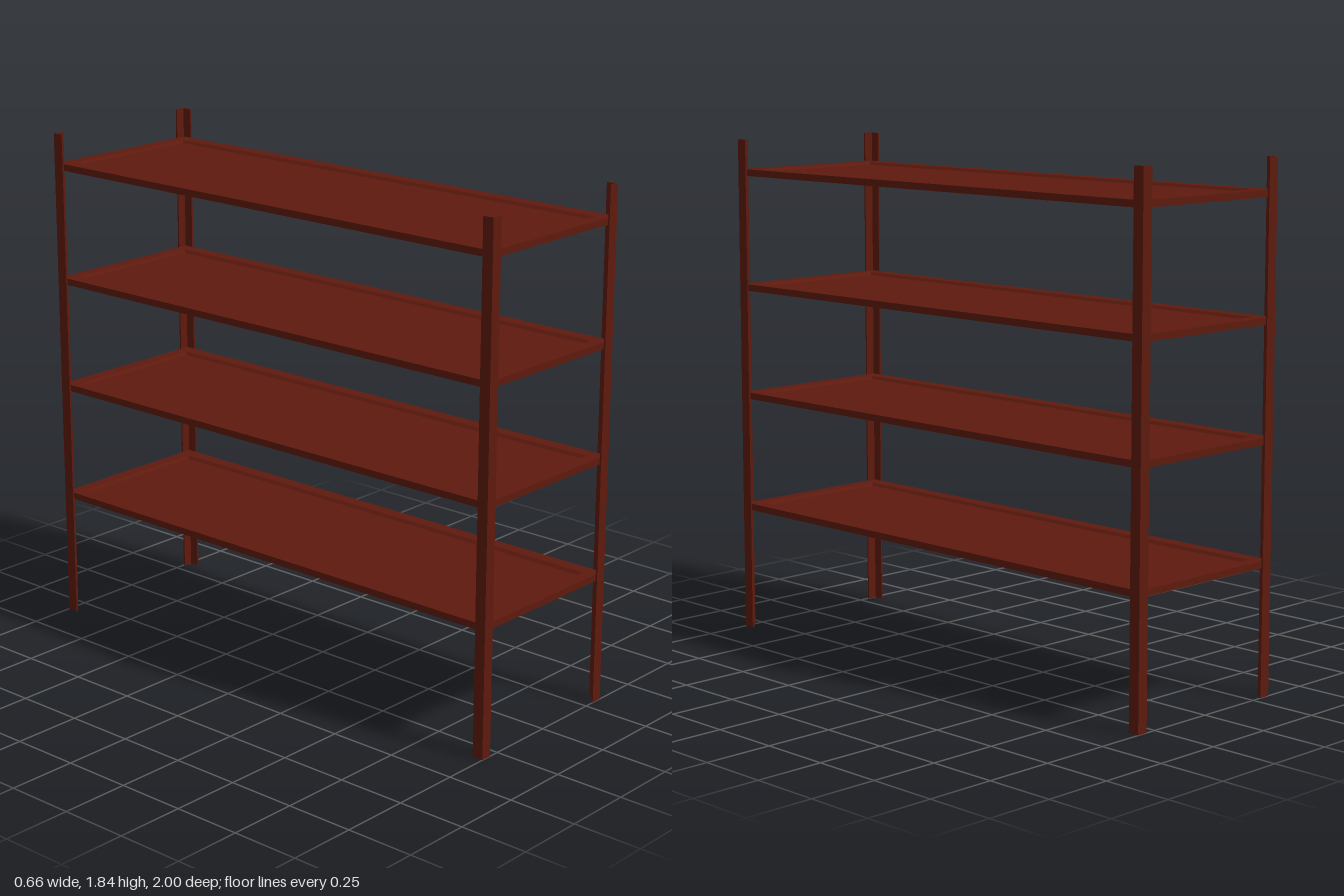
import * as THREE from 'three';

const HX = 0.33, HZ = 1.0, HEIGHT = 1.835;   // overall half width, half depth, height
const FLANGE = 0.041, GAUGE = 0.006;         // angle-iron leg size
const SHELF_TOPS = [0.476, 0.898, 1.303, 1.727];

// Closed rectangular solid lofted through rings of [halfX, halfZ, y], bottom first
function loftRect(rings) {
  const pos = [];
  const corner = ([hx, hz, y], i) => [[hx, y, hz], [hx, y, -hz], [-hx, y, -hz], [-hx, y, hz]][i % 4];
  const quad = (a, b, c, d) => pos.push(...a, ...b, ...c, ...a, ...c, ...d);
  for (let r = 0; r < rings.length - 1; r++) {
    for (let i = 0; i < 4; i++) {
      quad(corner(rings[r], i), corner(rings[r], i + 1), corner(rings[r + 1], i + 1), corner(rings[r + 1], i));
    }
  }
  const first = rings[0], last = rings[rings.length - 1];
  quad(corner(first, 3), corner(first, 2), corner(first, 1), corner(first, 0));
  quad(corner(last, 0), corner(last, 1), corner(last, 2), corner(last, 3));
  const geo = new THREE.BufferGeometry();
  geo.setAttribute('position', new THREE.Float32BufferAttribute(pos, 3));
  geo.computeVertexNormals();
  return geo;
}

// L-shaped upright whose outer corner sits at the origin, flanges along +x and +z
function uprightGeometry() {
  const shape = new THREE.Shape([
    [0, 0], [FLANGE, 0], [FLANGE, GAUGE], [GAUGE, GAUGE], [GAUGE, FLANGE], [0, FLANGE],
  ].map(([x, y]) => new THREE.Vector2(x, y)));
  const geo = new THREE.ExtrudeGeometry(shape, { depth: HEIGHT, bevelEnabled: false });
  geo.rotateX(Math.PI / 2);
  geo.translate(0, HEIGHT, 0);
  return geo;
}

export function createModel() {
  const group = new THREE.Group();
  group.name = 'shelvingUnit';
  const paint = new THREE.MeshStandardMaterial({ color: 0x5e1a0e });

  // Four corner uprights, each turned so its angle wraps the shelf corner
  const upright = uprightGeometry();
  const corners = [[-1, -1, 0], [-1, 1, 1], [1, 1, 2], [1, -1, 3]];
  for (const [sx, sz, turns] of corners) {
    const mesh = new THREE.Mesh(upright, paint);
    mesh.name = `${sz > 0 ? 'front' : 'back'}${sx > 0 ? 'Left' : 'Right'}Upright`;
    mesh.position.set(sx * HX, 0, sz * HZ);
    mesh.rotation.y = turns * Math.PI / 2;
    group.add(mesh);
  }

  // Shelves with a flat rim and a shallow recessed panel
  const ox = HX - GAUGE, oz = HZ - GAUGE;
  const shelf = loftRect([
    [ox, oz, -0.024],
    [ox, oz, 0],
    [0.275, 0.95, 0],
    [0.265, 0.94, -0.01],
  ]);
  SHELF_TOPS.forEach((y, i) => {
    const mesh = new THREE.Mesh(shelf, paint);
    mesh.name = `shelf${i + 1}`;
    mesh.position.y = y;
    group.add(mesh);
  });

  return group;
}
